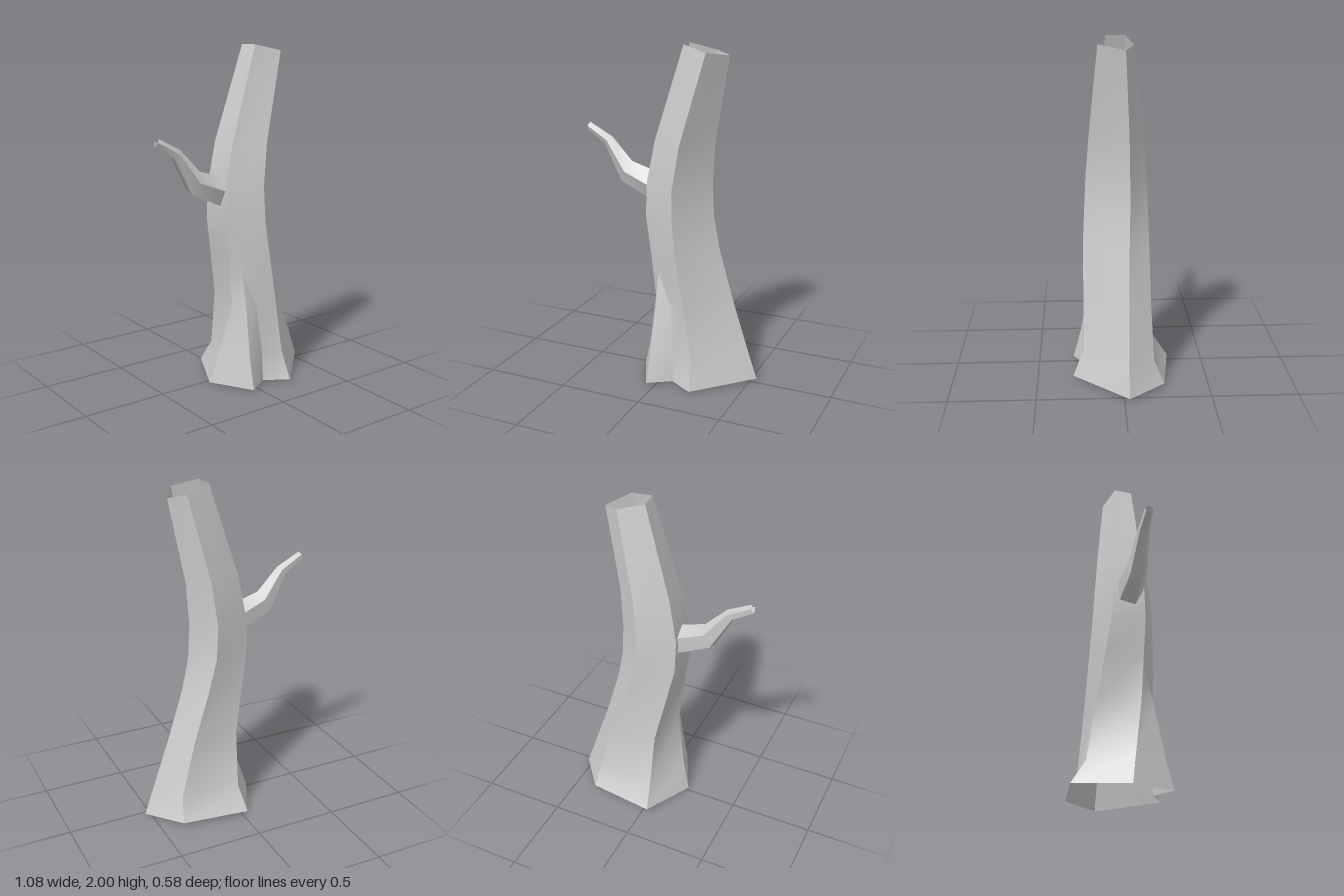
import * as THREE from 'three';
import { toCreasedNormals } from 'three/addons/utils/BufferGeometryUtils.js';

const bark = new THREE.MeshStandardMaterial({ color: 0xcccccc, side: THREE.DoubleSide });
const vecs = (list) => list.map((p) => new THREE.Vector3(...p));

// Skins a closed loop of columns (points listed from bottom to top), open at both ends
function skin(columns, name, crease) {
  const pos = [];
  const tri = (a, b, c) => {
    if (a.distanceTo(b) > 1e-5 && b.distanceTo(c) > 1e-5 && c.distanceTo(a) > 1e-5) {
      for (const p of [a, b, c]) pos.push(p.x, p.y, p.z);
    }
  };
  columns.forEach((col, i) => {
    const next = columns[(i + 1) % columns.length];
    for (let j = 0; j < col.length - 1; j++) {
      tri(col[j], next[j], next[j + 1]);
      tri(col[j], next[j + 1], col[j + 1]);
    }
  });
  const geo = new THREE.BufferGeometry();
  geo.setAttribute('position', new THREE.Float32BufferAttribute(pos, 3));
  const mesh = new THREE.Mesh(toCreasedNormals(geo, crease), bark);
  mesh.name = name;
  return mesh;
}

function makeTrunk() {
  // The five long edges of the hollow trunk
  const backLeft = vecs([[-0.03, 0.02, -0.29], [-0.01, 0.16, -0.2], [-0.02, 0.5, -0.15], [-0.08, 0.8, -0.11],
    [-0.12, 1, -0.085], [-0.12, 1.2, -0.07], [-0.075, 1.45, -0.06], [0.09, 2, -0.02]]);
  const frontLeft = vecs([[-0.18, 0, 0.02], [-0.13, 0.18, 0.05], [-0.07, 0.5, 0.1], [-0.1, 0.8, 0.11],
    [-0.125, 1, 0.115], [-0.12, 1.2, 0.11], [-0.07, 1.45, 0.105], [0.1, 2, 0.09]]);
  const front = vecs([[0.225, 0.01, 0.29], [0.21, 0.18, 0.225], [0.16, 0.5, 0.225], [0.11, 0.8, 0.225],
    [0.085, 1, 0.215], [0.08, 1.2, 0.205], [0.115, 1.45, 0.185], [0.25, 1.965, 0.135]]);
  const right = vecs([[0.535, 0.01, -0.03], [0.47, 0.2, -0.03], [0.37, 0.5, -0.035], [0.28, 0.8, -0.04],
    [0.24, 1, -0.045], [0.23, 1.2, -0.045], [0.245, 1.45, -0.04], [0.335, 1.94, -0.015]]);
  const back = vecs([[0.37, 0.02, -0.24], [0.35, 0.16, -0.18], [0.26, 0.5, -0.165], [0.165, 0.8, -0.16],
    [0.11, 1, -0.155], [0.095, 1.2, -0.145], [0.125, 1.45, -0.125], [0.24, 1.96, -0.065]]);

  // Root ridge and the groove beside it, both fading into the front-left face
  const apex = [-0.03, 0.67, 0.15];
  const fade = frontLeft.slice(4).map((p, i) => p.clone().lerp(front[i + 4], 0.33));
  const ridge = [...vecs([[-0.05, 0.01, 0.29], [-0.045, 0.18, 0.245], [-0.03, 0.5, 0.185], apex]), ...fade];
  const groove = [...vecs([[0.085, 0.01, 0.205], [0.085, 0.2, 0.19], [0.05, 0.5, 0.175], apex]), ...fade];

  return skin([backLeft, frontLeft, ridge, groove, front, right, back], 'trunk', 0.6);
}

function makeBranch() {
  // Each ring: upper x, y then lower x, y, then half width and centre in z
  const rings = [
    [-0.1, 1.255, -0.12, 1.095, 0.08, 0.022],
    [-0.25, 1.3, -0.31, 1.18, 0.06, 0.025],
    [-0.38, 1.435, -0.425, 1.395, 0.036, 0.03],
    [-0.525, 1.51, -0.54, 1.465, 0.025, 0.03],
  ];
  const columns = [];
  const sides = 5;
  for (let i = 0; i < sides; i++) {
    const a = (i / sides) * Math.PI * 2 + 0.2;
    // 0 at the top corner, 1 at the two bottom corners
    const t = (1 - Math.cos(a)) / 1.81;
    columns.push(rings.map(([ux, uy, lx, ly, w, z]) => new THREE.Vector3(
      ux + (lx - ux) * t, uy + (ly - uy) * t, z + w * 1.03 * Math.sin(a))));
  }
  return skin(columns.reverse(), 'branch', 0.75);
}

export function createModel() {
  const tree = new THREE.Group();
  tree.name = 'deadTree';
  tree.add(makeTrunk(), makeBranch());
  return tree;
}
